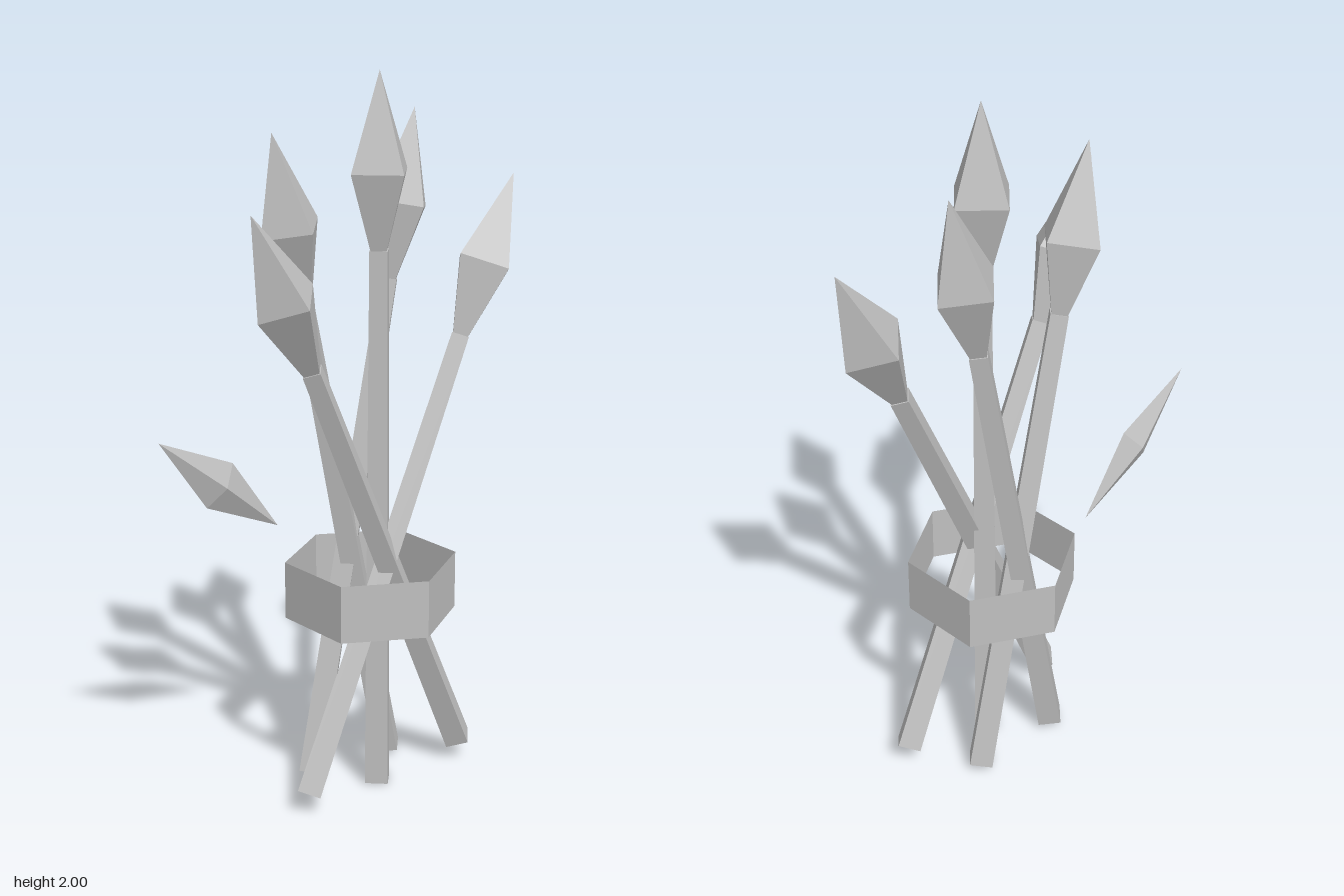
import * as THREE from 'three';

export function createModel() {
  const model = new THREE.Group();
  model.name = 'stemBundle';

  const grey = new THREE.MeshStandardMaterial({ color: 0xc0c0c0 });
  grey.name = 'grey';
  grey.flatShading = true;
  const greySheet = grey.clone();
  greySheet.side = THREE.DoubleSide;

  const add = (parent, name, geometry, material = grey) => {
    const mesh = new THREE.Mesh(geometry, material);
    mesh.name = name;
    parent.add(mesh);
    return mesh;
  };

  // Four-sided bud: short lower taper and long upper point, base at y = 0
  const R = 0.097, LOWER = 0.207, UPPER = 0.26;
  const budLower = new THREE.CylinderGeometry(R, 0.03, LOWER, 4, 1, true).translate(0, LOWER / 2, 0);
  const budUpper = new THREE.ConeGeometry(R, UPPER, 4, 1, true).translate(0, LOWER + UPPER / 2, 0);

  // Stems: foot position, length and sideways lean in degrees
  const stems = [
    { name: 'centreStem', foot: [0.057, 0, 0.034], length: 1.535, lean: 0 },
    { name: 'frontLeftStem', foot: [-0.214, 0.058, 0.064], length: 1.325, lean: 24.1 },
    { name: 'frontRightStem', foot: [0.328, 0.06, 0.077], length: 1.313, lean: -24 },
    { name: 'backLeftStem', foot: [-0.074, 0.02, -0.101], length: 1.425, lean: 11.4 },
    { name: 'backRightStem', foot: [0.198, 0.016, -0.086], length: 1.412, lean: -12.3 },
  ];
  for (const { name, foot, length, lean } of stems) {
    const flower = new THREE.Group();
    flower.name = name;
    flower.position.set(...foot);
    flower.rotation.z = -THREE.MathUtils.degToRad(lean);
    add(flower, 'stem', new THREE.CylinderGeometry(0.034, 0.046, length, 4).translate(0, length / 2, 0));
    add(flower, 'budLower', budLower).position.y = length;
    add(flower, 'budUpper', budUpper).position.y = length;
    model.add(flower);
  }

  // Six-sided open band holding the stems
  add(model, 'band', new THREE.CylinderGeometry(0.24, 0.24, 0.163, 6, 1, true), greySheet)
    .position.set(0.057, 0.585, 0.004);

  // Loose flattened leaf behind the bundle
  const leaf = add(model, 'leaf', new THREE.OctahedronGeometry(1).scale(0.07, 0.249, 0.034));
  leaf.position.set(-0.327, 0.914, -0.169);
  leaf.rotation.z = THREE.MathUtils.degToRad(51);

  return model;
}
